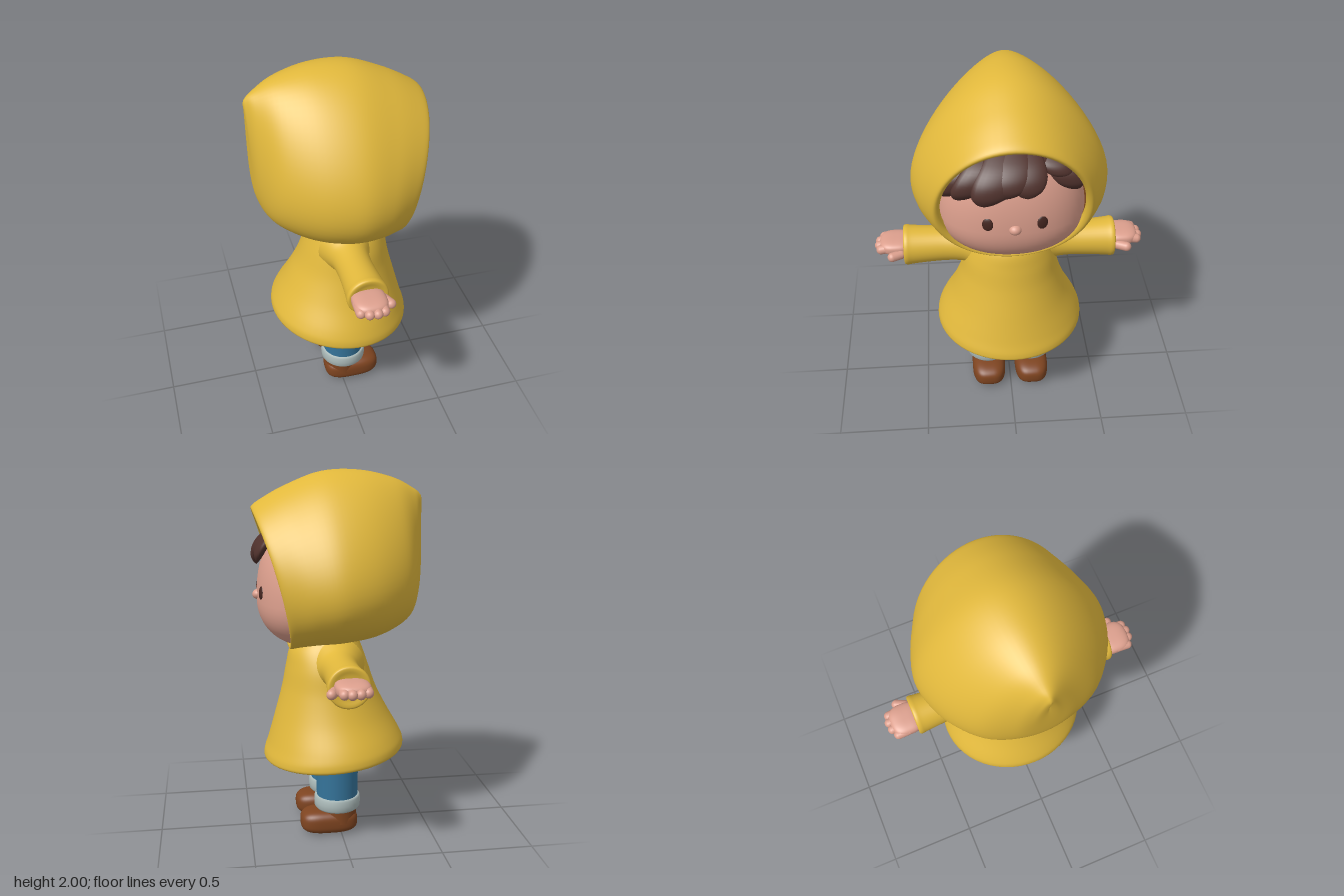
import * as THREE from 'three';

const mat = (name, color, side = THREE.FrontSide) => {
  const m = new THREE.MeshStandardMaterial({ color, side });
  m.name = name;
  return m;
};

// Catmull-Rom blend through rows of numbers, t in 0..1
function blend(rows, t) {
  const f = t * (rows.length - 1), i = Math.min(Math.floor(f), rows.length - 2), s = f - i;
  const row = (k) => rows[Math.max(0, Math.min(rows.length - 1, k))];
  return row(i).map((b, c) => {
    const a = row(i - 1)[c], d = row(i + 1)[c], e = row(i + 2)[c];
    return b + 0.5 * s * (d - a + s * (2 * a - 5 * b + 4 * d - e + s * (3 * (b - d) + e - a)));
  });
}

// Skin of closed rings: point(row, angle) gives one corner
function loft(rows, point, nu, nv) {
  const pos = [], idx = [];
  for (let i = 0; i <= nu; i++) {
    const row = blend(rows, i / nu);
    for (let j = 0; j < nv; j++) pos.push(...point(row, (j / nv) * Math.PI * 2));
  }
  for (let i = 0; i < nu; i++) for (let j = 0; j < nv; j++) {
    const a = i * nv + j, b = i * nv + (j + 1) % nv;
    idx.push(a, b, a + nv, b, b + nv, a + nv);
  }
  const g = new THREE.BufferGeometry();
  g.setAttribute('position', new THREE.Float32BufferAttribute(pos, 3));
  g.setIndex(idx);
  g.computeVertexNormals();
  return g;
}

// Sphere squared off by an exponent (1 = round), with its own upper height
function softBlob(rx, ry, rz, e, up = ry, theta = Math.PI) {
  const g = new THREE.SphereGeometry(1, 48, 32, 0, Math.PI * 2, 0, theta);
  const p = g.attributes.position, n = g.attributes.normal;
  const q = (v) => Math.sign(v) * Math.pow(Math.abs(v), e);
  const w = (v) => Math.sign(v) * Math.pow(Math.abs(v), 2 - e);
  for (let i = 0; i < p.count; i++) {
    const x = p.getX(i), y = p.getY(i), z = p.getZ(i), h = y > 0 ? up : ry;
    p.setXYZ(i, q(x) * rx, q(y) * h, q(z) * rz);
    const v = new THREE.Vector3(w(x) / rx, w(y) / h, w(z) / rz).normalize();
    n.setXYZ(i, v.x, v.y, v.z);
  }
  return g;
}

const HEAD = { x: 0.16, y: 1.32, rx: 0.273, down: 0.25, up: 0.43, rz: 0.38, e: 0.92 };
// Front surface of the face at a given height and side position
function faceX(y, z) {
  const p = 2 / HEAD.e, dy = y - HEAD.y;
  const r = 1 - Math.pow(Math.abs(dy) / (dy > 0 ? HEAD.up : HEAD.down), p) - Math.pow(Math.abs(z) / HEAD.rz, p);
  return HEAD.x + HEAD.rx * Math.pow(Math.max(r, 0.02), HEAD.e / 2);
}

export function createModel() {
  const root = new THREE.Group();
  root.name = 'childInRaincoat';
  const yellow = mat('raincoat yellow', 0xe1b83c);
  const skin = mat('skin', 0xdc9f8d);
  const hair = mat('hair brown', 0x50322d);
  const eyeDark = mat('eye brown', 0x43251f);
  const blue = mat('trouser blue', 0x35749a);
  const grey = mat('cuff grey', 0xabbab9);
  const brown = mat('shoe brown', 0x7e4420);
  const lining = mat('lining brown', 0x7e4a22, THREE.DoubleSide);

  const add = (name, geo, material, x = 0, y = 0, z = 0, parent = root) => {
    const m = new THREE.Mesh(geo, material);
    m.name = name;
    m.position.set(x, y, z);
    parent.add(m);
    return m;
  };

  // Hood: rings from the back point to the rim [xTop, xBottom, yTop, yBottom, halfWidth, egg]
  const hoodPoint = ([xt, xb, yt, yb, w, k], a) => {
    const c = Math.cos(a), s = Math.sin(a);
    return [xb + (xt - xb) * (c + 1) / 2 - 0.025 * s * s * Math.max(0, xt) / 0.45,
      (yt + yb) / 2 + (yt - yb) / 2 * c, w * s * (1 - 0.15 * k - k * (0.9 * c - 0.15 * c * c))];
  };
  add('hood', loft([
    [-0.462, -0.45, 1.84, 1.74, 0, 0],
    [-0.45, -0.443, 1.868, 1.45, 0.07, 0.4],
    [-0.41, -0.425, 1.9, 1.29, 0.17, 0.35],
    [-0.3, -0.36, 1.955, 1.19, 0.33, 0.34],
    [-0.12, -0.2, 1.995, 1.115, 0.46, 0.34],
    [0.08, -0.02, 1.99, 1.085, 0.515, 0.34],
    [0.27, 0.12, 1.92, 1.075, 0.49, 0.3],
    [0.4, 0.22, 1.85, 1.06, 0.44, 0.2],
    [0.452, 0.265, 1.81, 1.05, 0.405, 0.12],
    [0.44, 0.262, 1.785, 1.07, 0.375, 0.1],
    [0.4, 0.24, 1.775, 1.085, 0.37, 0.1],
  ], hoodPoint, 60, 64), yellow);
  add('hoodLining', loft([
    [0.4, 0.24, 1.775, 1.085, 0.37, 0.1],
    [0.3, 0.2, 1.775, 1.09, 0.375, 0.1],
    [0.15, 0.14, 1.68, 1.16, 0.29, 0.1],
  ], hoodPoint, 10, 64), lining);

  // Head and face
  add('head', softBlob(HEAD.rx, HEAD.down, HEAD.rz, HEAD.e, HEAD.up), skin, HEAD.x, HEAD.y, 0);
  const nose = add('nose', new THREE.SphereGeometry(0.032, 20, 14), skin, faceX(1.345, 0) - 0.006, 1.345, 0);
  nose.scale.set(0.95, 0.85, 1);
  for (const s of [1, -1]) {
    const eye = add(s > 0 ? 'rightSideEye' : 'leftSideEye', new THREE.SphereGeometry(1, 24, 16), eyeDark,
      faceX(1.375, 0.135) - 0.001, 1.375, 0.135 * s);
    eye.scale.set(0.009, 0.035, 0.028);
    eye.rotation.set(0, -0.25 * s, 0.1);
  }

  // Hair: cap under the hood and a parted fringe of tapered, swept locks
  add('hairCap', softBlob(HEAD.rx + 0.015, 0.3, HEAD.rz + 0.005, HEAD.e, HEAD.up + 0.02, Math.PI * 0.23),
    hair, HEAD.x, HEAD.y, 0);
  // [z at the parting, z at the tip, tip height, half width]
  const locks = [[0.19, 0.335, 1.47, 0.085], [0.12, 0.27, 1.49, 0.1], [0.05, 0.15, 1.485, 0.11],
    [-0.01, 0.04, 1.53, 0.1], [-0.07, -0.06, 1.525, 0.09], [-0.17, -0.24, 1.58, 0.075],
    [-0.2, -0.305, 1.5, 0.085], [-0.24, -0.345, 1.53, 0.06]];
  locks.forEach(([z0, z1, y1, w], i) => {
    const rows = [[0, 0.5], [0.25, 0.85], [0.5, 1], [0.75, 0.85], [0.92, 0.45], [1, 0.02]].map(([t, f]) => {
      const y = 1.73 + (y1 - 1.73) * t, z = z0 + (z1 - z0) * Math.pow(t, 1.3);
      return [faceX(y, z) + 0.015 + 0.02 * Math.sin(t * 2.6), y, z, w * f];
    });
    add('fringeLock' + (i + 1), loft(rows, ([x, y, z, r], a) =>
      [x + Math.cos(a) * r * 0.36, y, z + Math.sin(a) * r], 24, 20), hair);
  });

  // Coat: rings from the neck to the tilted hem [y, xBack, xFront, halfWidth]
  add('coat', loft([
    [1.13, -0.1, 0.19, 0.15],
    [1.05, -0.135, 0.255, 0.2],
    [0.95, -0.17, 0.28, 0.245],
    [0.82, -0.215, 0.305, 0.275],
    [0.68, -0.28, 0.345, 0.325],
    [0.55, -0.345, 0.385, 0.39],
    [0.485, -0.37, 0.408, 0.413],
    [0.45, -0.36, 0.4, 0.402],
    [0.445, -0.28, 0.32, 0.32],
    [0.455, -0.1, 0.12, 0.12],
    [0.456, 0.01, 0.01, 0],
  ], ([y, x0, x1, w], a) => {
    const x = (x0 + x1) / 2 + (x1 - x0) / 2 * Math.cos(a);
    const tilt = Math.max(0, Math.min(1, (0.8 - y) / 0.3));
    return [x, y - 0.085 * tilt * (x - 0.02), w * Math.sin(a)];
  }, 60, 56), yellow);

  // Sleeves, flared where they join the coat, and hands
  const sleeve = new THREE.SplineCurve([[0.15, 0.15], [0.12, 0.21], [0.102, 0.26], [0.096, 0.34], [0.1, 0.44],
    [0.107, 0.53], [0.111, 0.56], [0.106, 0.576], [0.09, 0.578], [0.06, 0.572], [0, 0.57]]
    .map(([r, h]) => new THREE.Vector2(r, h))).getPoints(40);
  const capsule = (r, len) => new THREE.CapsuleGeometry(r, len, 8, 16).rotateX(Math.PI / 2);
  for (const s of [1, -1]) {
    const arm = new THREE.Group();
    arm.name = s > 0 ? 'rightSideArm' : 'leftSideArm';
    root.add(arm);
    const tube = add('sleeve', new THREE.LatheGeometry(sleeve, 40), yellow, 0.02, 0.972, 0, arm);
    tube.rotation.x = s * Math.PI / 2;
    add('palm', softBlob(0.09, 0.04, 0.09, 0.72), skin, 0.012, 0.985, 0.62 * s, arm);
    [[-0.054, 0.712], [-0.014, 0.733], [0.028, 0.737], [0.066, 0.727]].forEach(([x, tip], i) => {
      const finger = add('finger' + (i + 1), capsule(0.026, 0.06), skin, x, 0.983, (tip - 0.055) * s, arm);
      finger.rotation.x = 0.15 * s;
    });
    const thumb = add('thumb', capsule(0.026, 0.05), skin, 0.108, 0.964, 0.618 * s, arm);
    thumb.rotation.y = 0.45 * s;
  }

  // Legs, rolled cuffs and shoes
  const cuff = [[0.1, 0.155], [0.118, 0.148], [0.127, 0.16], [0.129, 0.187], [0.127, 0.215], [0.12, 0.226],
    [0.108, 0.222]].map(([r, h]) => new THREE.Vector2(r, h));
  for (const s of [1, -1]) {
    const leg = new THREE.Group();
    leg.name = s > 0 ? 'rightSideLeg' : 'leftSideLeg';
    leg.position.z = 0.128 * s;
    root.add(leg);
    add('trouserLeg', new THREE.CylinderGeometry(0.117, 0.114, 0.35, 36), blue, 0.016, 0.335, 0, leg);
    add('trouserCuff', new THREE.LatheGeometry(cuff, 36), grey, 0.016, 0, 0, leg);
    add('shoe', softBlob(0.16, 0.064, 0.098, 0.65, 0.072), brown, 0.064, 0.068, 0, leg);
    add('shoeAnkle', new THREE.CylinderGeometry(0.094, 0.098, 0.1, 32), brown, 0.006, 0.12, 0, leg);
  }
  return root;
}
